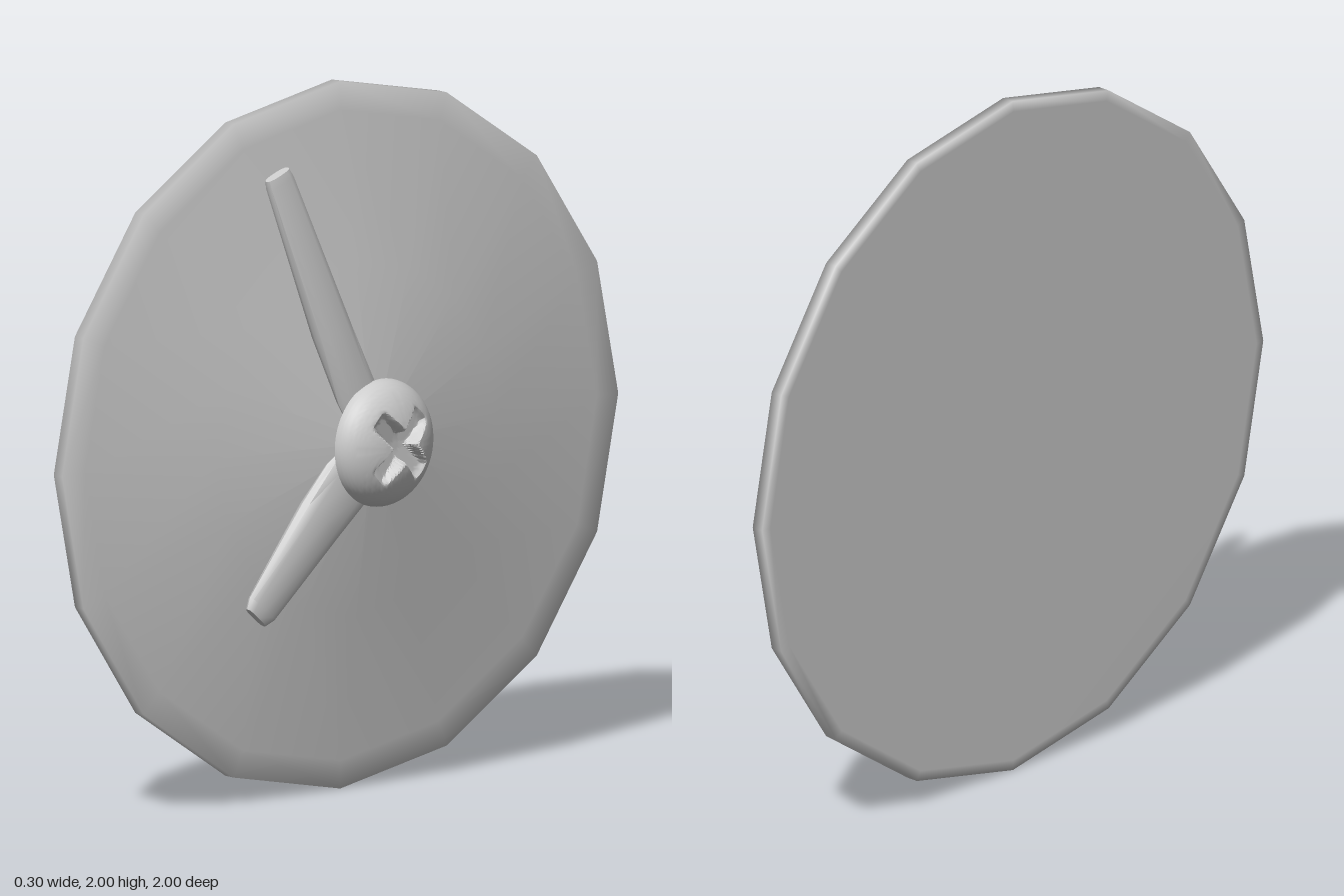
import * as THREE from 'three';
import { toCreasedNormals } from 'three/addons/utils/BufferGeometryUtils.js';

const grey = new THREE.MeshStandardMaterial({ color: 0xcccccc });

function part(name, geometry) {
  const mesh = new THREE.Mesh(geometry, grey);
  mesh.name = name;
  return mesh;
}

// Profile of [radius, x], turned around the x axis.
function turned(profile, segments) {
  const points = profile.map(([r, x]) => new THREE.Vector2(r, x));
  return new THREE.LatheGeometry(points, segments);
}

// Tapered bar along +y; each station is [y, half width, back x, front x].
function handGeometry(stations) {
  const sides = 12, pos = [], index = [];
  const power = (v) => Math.sign(v) * Math.pow(Math.abs(v), 0.75);
  for (const [y, w, back, front] of stations) {
    for (let j = 0; j < sides; j++) {
      const t = (j / sides) * Math.PI * 2;
      pos.push((front + back) / 2 + ((front - back) / 2) * power(Math.cos(t)), y, w * power(Math.sin(t)));
    }
  }
  for (let i = 0; i < stations.length - 1; i++) {
    for (let j = 0; j < sides; j++) {
      const a = i * sides + j, b = i * sides + ((j + 1) % sides);
      index.push(a, a + sides, b, b, a + sides, b + sides);
    }
  }
  const g = new THREE.BufferGeometry();
  g.setAttribute('position', new THREE.Float32BufferAttribute(pos, 3));
  g.setIndex(index);
  return toCreasedNormals(g, 0.8);
}

// Domed screw head with a cross-shaped recess pressed into it.
function screwGeometry() {
  const R = 0.18, H = 0.105, rows = 32;
  const profile = [[0, 0]];
  for (let i = 0; i <= rows; i++) {
    const t = (i / rows) * Math.PI / 2;
    profile.push([R * Math.cos(t), H * Math.sin(t)]);
  }
  const g = turned(profile, 96);
  const p = g.attributes.position;
  for (let i = 0; i < p.count; i++) {
    const x = p.getX(i), y = p.getY(i), z = p.getZ(i);
    if (y < 0.02) continue;
    const u = Math.abs(x + z) * Math.SQRT1_2, v = Math.abs(x - z) * Math.SQRT1_2;
    const long = Math.max(u, v), short = Math.min(u, v);
    const inside = (1 - THREE.MathUtils.smoothstep(short, 0.022, 0.034))
      * (1 - THREE.MathUtils.smoothstep(long, 0.105, 0.125));
    const floor = 0.055 + 0.1 * long;
    p.setY(i, y + (Math.min(y, floor) - y) * inside);
  }
  g.rotateZ(-Math.PI / 2);
  return toCreasedNormals(g, 0.7);
}

export function createModel() {
  const group = new THREE.Group();
  group.name = 'clock';

  // Sixteen-sided face: flat back, short rim, shallow cone in front
  const face = turned([
    [0, -0.155], [0.97, -0.155], [1, -0.152], [1, -0.115], [0.92, -0.112], [0.5, -0.046], [0, 0.03],
  ], 16);
  face.rotateZ(-Math.PI / 2);
  const dial = part('dial', face);
  dial.position.y = 1;
  group.add(dial);

  // Long hand, pointing up and forward
  const longHand = part('longHand', handGeometry([
    [0, 0, 0.02, 0.05], [0, 0.05, 0.02, 0.05], [0.16, 0.068, 0, 0.055], [0.36, 0.062, -0.024, 0.046],
    [0.83, 0.047, -0.018, 0.024], [0.855, 0.042, -0.014, 0.02], [0.855, 0, 0.003, 0.003],
  ]));
  longHand.position.y = 1;
  longHand.rotation.x = 0.388;
  group.add(longHand);

  // Short hand, pointing down and forward
  const shortHand = part('shortHand', handGeometry([
    [0, 0, 0.02, 0.05], [0, 0.06, 0.02, 0.05], [0.14, 0.092, 0, 0.055], [0.27, 0.082, -0.016, 0.05],
    [0.58, 0.056, -0.003, 0.037], [0.61, 0.042, 0.002, 0.032], [0.61, 0, 0.017, 0.017],
  ]));
  shortHand.position.y = 1;
  shortHand.rotation.x = 2.4;
  group.add(shortHand);

  // Centre screw, slightly tilted
  const screw = part('centreScrew', screwGeometry());
  screw.position.set(0.043, 1, -0.015);
  screw.rotation.y = 0.1;
  group.add(screw);

  return group;
}
